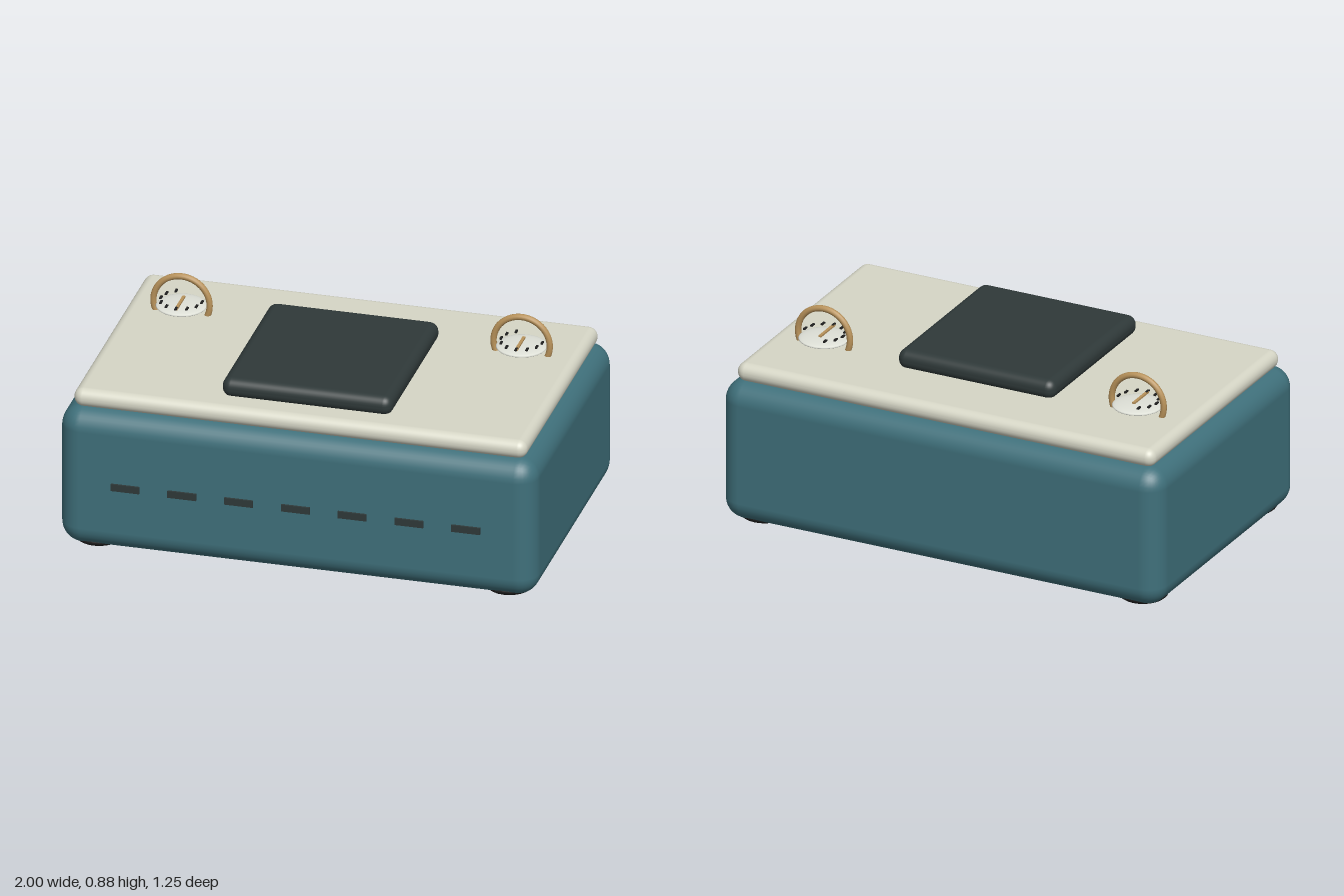
import * as THREE from 'three';
import { RoundedBoxGeometry } from 'three/addons/geometries/RoundedBoxGeometry.js';

const material = (name, color) => {
  const m = new THREE.MeshStandardMaterial({ color });
  m.name = name;
  return m;
};

export function createModel() {
  const teal = material('teal shell', 0x3f707b);
  const cream = material('cream lid', 0xd6d6c6);
  const charcoal = material('charcoal', 0x2f3939);
  const black = material('black rubber', 0x202020);
  const brass = material('brass', 0xb8925a);
  const pale = material('pale dial', 0xdfe1d8);

  const model = new THREE.Group();
  model.name = 'caseWithDials';

  const add = (parent, name, geometry, mat, x, y, z) => {
    const mesh = new THREE.Mesh(geometry, mat);
    mesh.name = name;
    mesh.position.set(x, y, z);
    parent.add(mesh);
    return mesh;
  };

  // Stacked rounded slabs: case, lid and centre pad
  add(model, 'body', new RoundedBoxGeometry(2, 0.612, 1.24, 4, 0.09), teal, 0, 0.326, -0.003);
  add(model, 'lid', new RoundedBoxGeometry(1.9, 0.08, 1.142, 4, 0.039), cream, 0, 0.665, -0.003);
  add(model, 'pad', new RoundedBoxGeometry(0.714, 0.085, 0.764, 4, 0.039), charcoal, 0, 0.736, 0.08);

  // Row of slots along the front
  const slot = new THREE.BoxGeometry(0.12, 0.03, 0.02);
  for (let i = -3; i <= 3; i++) add(model, 'frontSlot', slot, charcoal, i * 0.238, 0.315, 0.616);

  // Domed feet, one per corner
  const foot = new THREE.SphereGeometry(0.105, 24, 12).scale(1, 0.34, 1);
  for (const x of [-0.86, 0.86]) {
    for (const z of [-0.482, 0.482]) add(model, 'foot', foot, black, x, 0.036, z);
  }

  // Dials with brass ring guards, needles and tick marks
  const ring = new THREE.TorusGeometry(0.118, 0.013, 12, 48);
  const face = new THREE.SphereGeometry(0.105, 32, 12).scale(1, 0.13, 1);
  const needle = new THREE.BoxGeometry(0.012, 0.007, 0.125);
  const tick = new THREE.BoxGeometry(0.009, 0.006, 0.024);
  for (const side of [-1, 1]) {
    const dial = new THREE.Group();
    dial.name = side > 0 ? 'leftDial' : 'rightDial';
    dial.position.set(side * 0.713, 0, -0.243);
    model.add(dial);
    add(dial, 'ringGuard', ring, brass, 0, 0.747, 0);
    add(dial, 'dialFace', face, pale, 0, 0.735, 0);
    add(dial, 'needle', needle, brass, 0, 0.757, 0.025);
    for (let i = 0; i < 9; i++) {
      const a = THREE.MathUtils.degToRad(120 + i * 30);
      add(dial, 'tick', tick, black, Math.cos(a) * 0.086, 0.76, -Math.sin(a) * 0.086);
    }
  }

  return model;
}
